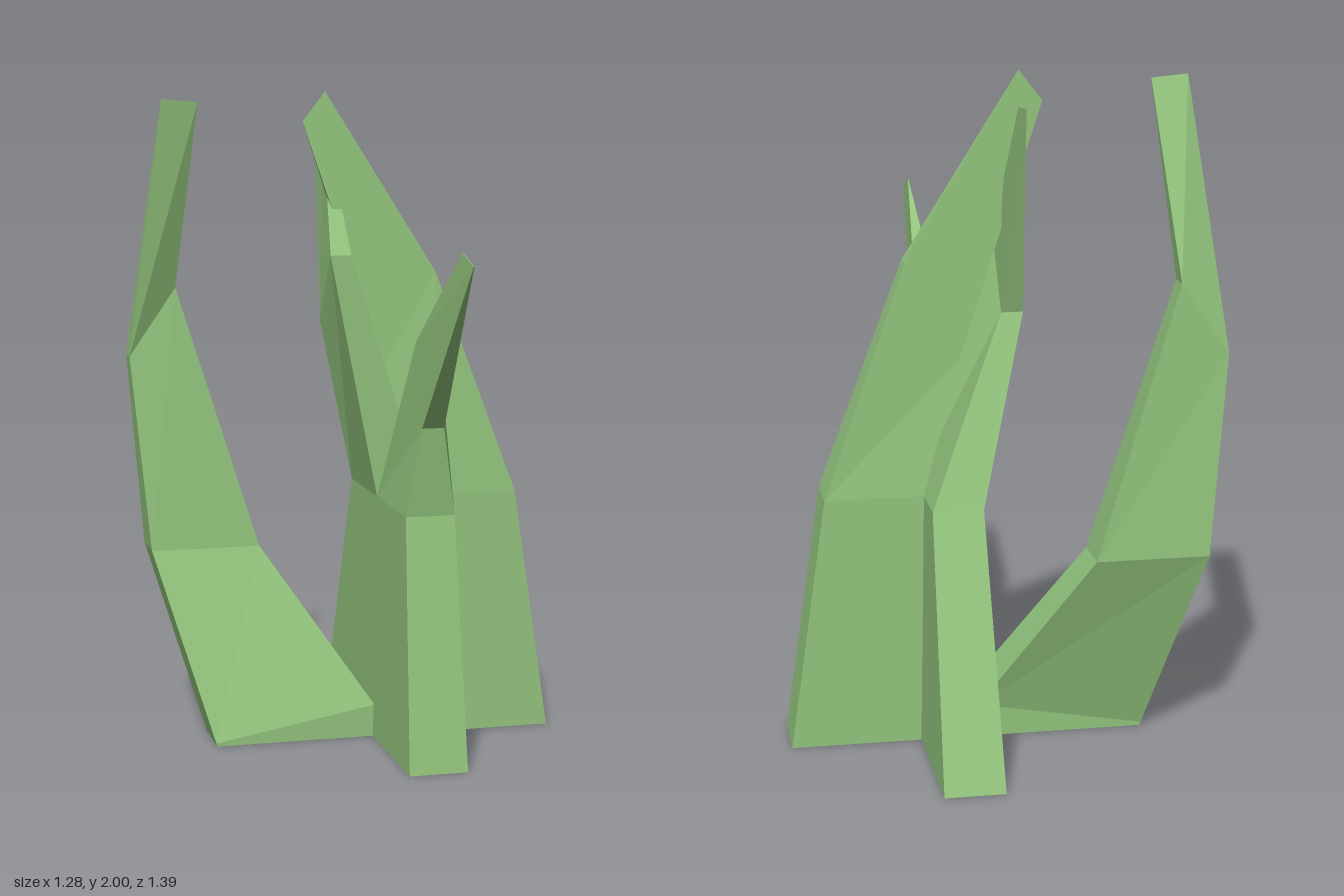
import * as THREE from 'three';

const material = new THREE.MeshStandardMaterial({ color: 0x93c47d, flatShading: true });

// Skin a stack of four-cornered sections (anticlockwise seen from above) and cap both ends.
function loft(name, sections) {
  const pos = [];
  const quad = (a, b, c, d) => pos.push(...a, ...b, ...c, ...a, ...c, ...d);
  for (let i = 0; i < sections.length - 1; i++) {
    const p = sections[i], q = sections[i + 1];
    for (let k = 0; k < 4; k++) {
      const n = (k + 1) % 4;
      quad(p[k], p[n], q[n], q[k]);
    }
  }
  quad(...[...sections[0]].reverse());
  quad(...sections[sections.length - 1]);
  const geometry = new THREE.BufferGeometry();
  geometry.setAttribute('position', new THREE.Float32BufferAttribute(pos, 3));
  geometry.computeVertexNormals();
  const mesh = new THREE.Mesh(geometry, material);
  mesh.name = name;
  return mesh;
}

// Each level: outer reach, outer height, inner reach, inner height, first side, second side.
function leaf(name, place, levels) {
  return loft(name, levels.map(([ro, yo, ri, yi, s, t]) => [
    place(ro, yo, s), place(ro, yo, t), place(ri, yi, t), place(ri, yi, s),
  ]));
}

const alongX = (reach, y, side) => [reach, y, side];
const alongZ = (reach, y, side) => [side, y, reach];

export function createModel() {
  const group = new THREE.Group();
  group.name = 'plant';

  // Central stem where the four leaves meet
  const square = (y, x0, x1, z0, z1) => [[x1, y, z1], [x1, y, z0], [x0, y, z0], [x0, y, z1]];
  group.add(loft('stem', [
    square(0, 0.07, 0.25, -0.25, -0.07),
    square(0.76, 0.085, 0.235, -0.235, -0.08),
  ]));

  // Tall leaf leaning inward over the stem
  group.add(leaf('leftLeaf', alongX, [
    [0.64, 0, 0.25, 0, -0.07, -0.25],
    [0.53, 0.76, 0.235, 0.76, -0.08, -0.235],
    [0.28, 1.45, 0.12, 1.16, -0.12, -0.187],
    [-0.06, 2.0, -0.13, 1.91, -0.153, -0.155],
  ]));

  // Tall leaf sweeping outward and back, with its tip returning forward
  group.add(leaf('rightLeaf', alongX, [
    [-0.425, 0, 0.07, 0, -0.25, -0.07],
    [-0.428, 0.01, 0.075, 0.1, -0.25, -0.07],
    [-0.59, 0.585, -0.25, 0.585, -0.412, -0.262],
    [-0.645, 1.19, -0.5, 1.4, -0.375, -0.305],
    [-0.56, 1.98, -0.45, 1.97, -0.166, -0.164],
  ]));

  // Short leaf bending out to the front
  group.add(leaf('frontLeaf', alongZ, [
    [0.37, 0, -0.07, 0, 0.07, 0.25],
    [0.26, 0.76, -0.08, 0.76, 0.085, 0.235],
    [0.3, 1.03, 0.23, 1.28, 0.123, 0.19],
    [0.7, 1.54, 0.59, 1.57, 0.156, 0.158],
  ]));

  // Back leaf leaning in, then flicking out at the tip
  group.add(leaf('backLeaf', alongZ, [
    [-0.695, 0, -0.25, 0, 0.25, 0.07],
    [-0.405, 0.76, -0.08, 0.76, 0.235, 0.085],
    [-0.21, 1.3, -0.065, 1.51, 0.0, -0.065],
    [-0.405, 1.92, -0.29, 1.91, -0.034, -0.036],
  ]));

  return group;
}
